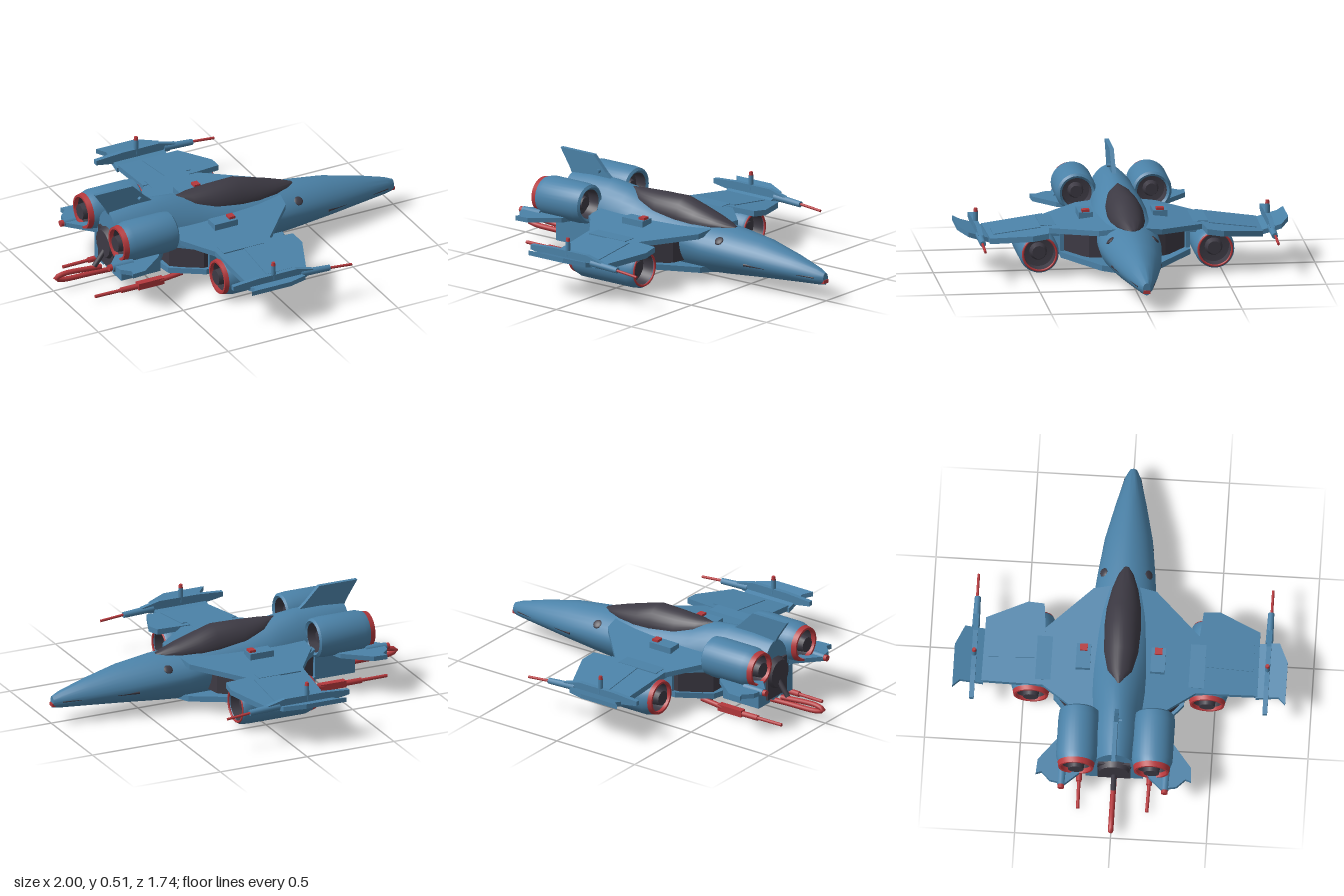
import * as THREE from 'three';
import { toCreasedNormals } from 'three/addons/utils/BufferGeometryUtils.js';

const material = (name, color) => Object.assign(new THREE.MeshStandardMaterial({ color }), { name });

export function createModel() {
  const blue = material('hull blue', 0x4b82a8);
  const dark = material('dark grey', 0x3d3a44);
  const red = material('accent red', 0xb5383c);
  const liner = material('dark liner', 0x3d3a44);
  liner.side = THREE.DoubleSide;
  const group = new THREE.Group();

  const add = (name, geometry, mat, x = 0, y = 0, z = 0) => {
    const mesh = new THREE.Mesh(geometry, mat);
    mesh.name = name;
    mesh.position.set(x, y, z);
    group.add(mesh);
    return mesh;
  };
  const box = (name, mat, w, h, d, x, y, z) => add(name, new THREE.BoxGeometry(w, h, d), mat, x, y, z);

  // Straight rod between two points, r0 at the start and r1 at the end
  const rod = (name, mat, a, b, r0, r1 = r0) => {
    const from = new THREE.Vector3(...a), dir = new THREE.Vector3(...b).sub(from);
    const mesh = add(name, new THREE.CylinderGeometry(r1, r0, dir.length(), 14), mat);
    mesh.position.copy(from).addScaledVector(dir, 0.5);
    mesh.quaternion.setFromUnitVectors(new THREE.Vector3(0, 1, 0), dir.normalize());
    return mesh;
  };

  // Skin over sections [x, half width, top, waist, bottom], nose first
  const loft = (name, mat, sections, power) => {
    const n = 32, pos = [], index = [];
    const bend = (v) => Math.sign(v) * Math.abs(v) ** (2 / power);
    for (const [x, w, top, mid, bottom] of sections) {
      for (let j = 0; j < n; j++) {
        const a = (j / n) * Math.PI * 2, s = bend(Math.sin(a));
        pos.push(x, mid + s * (s > 0 ? top - mid : mid - bottom), w * bend(Math.cos(a)));
      }
    }
    const last = sections.length - 1, cap = pos.length / 3;
    pos.push(sections[0][0], sections[0][3], 0, sections[last][0], sections[last][3], 0);
    for (let j = 0; j < n; j++) {
      const k = (j + 1) % n;
      for (let i = 0; i < last; i++) {
        const a = i * n + j, b = i * n + k;
        index.push(a, b, a + n, b, b + n, a + n);
      }
      index.push(cap, k, j, cap + 1, last * n + j, last * n + k);
    }
    const g = new THREE.BufferGeometry();
    g.setAttribute('position', new THREE.Float32BufferAttribute(pos, 3));
    g.setIndex(index);
    return add(name, toCreasedNormals(g, 0.6), mat);
  };

  // Flat panel from an x/z outline; its top lies at y0 + slope * |z|
  const plate = (name, mat, outline, side, thick, y0, slope = 0) => {
    const shape = new THREE.Shape(outline.map(([x, z]) => new THREE.Vector2(x, z * side)));
    const g = new THREE.ExtrudeGeometry(shape, { depth: thick, bevelEnabled: false });
    g.rotateX(Math.PI / 2);
    const p = g.attributes.position;
    for (let i = 0; i < p.count; i++) p.setY(i, p.getY(i) + y0 + slope * Math.abs(p.getZ(i)));
    g.computeVertexNormals();
    return add(name, g, mat);
  };

  // Upright panel from an x/y outline
  const fin = (name, mat, outline, thick, z) => {
    const shape = new THREE.Shape(outline.map(([x, y]) => new THREE.Vector2(x, y)));
    const g = new THREE.ExtrudeGeometry(shape, { depth: thick, bevelEnabled: false });
    return add(name, g.translate(0, 0, -thick / 2), mat, 0, 0, z);
  };

  // Body turned around the x axis from [x, radius] points running towards the nose
  const turned = (name, mat, points, y, z) => {
    const g = new THREE.LatheGeometry(points.map(([x, r]) => new THREE.Vector2(r, x)), 36);
    return add(name, toCreasedNormals(g.rotateZ(-Math.PI / 2), 0.6), mat, 0, y, z);
  };

  // Hollow engine: mouth is the intake radius, ring the length of the red rear ring
  const engine = (name, back, front, r, y, z, mouth, ring) => {
    turned(name + 'Shell', blue, [[back, r * 0.88], [back + 0.04, r], [front - 0.05, r], [front - 0.01, r * 0.96],
      [front, (r * 0.96 + mouth) / 2], [front - 0.01, mouth]], y, z);
    turned(name + 'Liner', liner, [[back - ring, r * 0.74], [back + 0.06, r * 0.68], [back + 0.07, 0.001],
      [front - 0.08, 0.001], [front - 0.07, mouth * 0.92], [front - 0.01, mouth]], y, z);
    turned(name + 'RearRing', red, [[back, r * 0.72], [back - ring, r * 0.74], [back - ring, r * 0.85],
      [back + 0.005, r * 0.9]], y, z);
    rod(name + 'FrontHub', dark, [front - 0.09, y, z], [front - 0.035, y, z], mouth * 0.6, mouth * 0.4);
    rod(name + 'Nozzle', dark, [back + 0.09, y, z], [back - ring - 0.008, y, z], r * 0.5, r * 0.38);
  };

  // Fuselage, canopy and tail fin
  loft('fuselage', blue, [
    [0.995, 0.02, 0.155, 0.125, 0.09], [0.95, 0.042, 0.175, 0.13, 0.085], [0.8, 0.08, 0.22, 0.142, 0.075],
    [0.6, 0.125, 0.267, 0.158, 0.06], [0.4, 0.15, 0.292, 0.172, 0.04], [0.28, 0.162, 0.3, 0.18, 0.03],
    [0.1, 0.16, 0.32, 0.2, 0.02], [-0.1, 0.16, 0.345, 0.2, 0.015], [-0.2, 0.158, 0.368, 0.2, 0.015],
    [-0.28, 0.153, 0.388, 0.2, 0.018], [-0.4, 0.14, 0.405, 0.2, 0.03], [-0.55, 0.14, 0.405, 0.2, 0.04],
    [-0.68, 0.12, 0.395, 0.2, 0.055]], 1.8);
  loft('canopy', dark, [
    [0.4, 0.015, 0.296, 0.283, 0.27], [0.36, 0.04, 0.31, 0.284, 0.27], [0.28, 0.068, 0.337, 0.285, 0.27],
    [0.17, 0.09, 0.371, 0.285, 0.27], [0.07, 0.096, 0.402, 0.29, 0.27], [-0.08, 0.09, 0.398, 0.302, 0.28],
    [-0.2, 0.065, 0.392, 0.335, 0.3], [-0.28, 0.015, 0.389, 0.36, 0.35]], 1.9);
  fin('tailFin', blue, [[-0.4, 0.38], [-0.46, 0.43], [-0.54, 0.513], [-0.76, 0.513], [-0.7, 0.42], [-0.67, 0.36]], 0.022, 0);
  rod('finSensor', blue, [-0.5, 0.432, 0], [-0.5, 0.432, 0.03], 0.01);
  box('noseTip', red, 0.02, 0.018, 0.036, 0.99, 0.108, 0);

  // Tail thruster, hook and hook base
  box('tailBulkhead', dark, 0.02, 0.2, 0.17, -0.682, 0.18, 0);
  rod('tailThruster', dark, [-0.66, 0.21, 0], [-0.71, 0.21, 0], 0.1, 0.075);
  rod('tailStrut', dark, [-0.69, 0.18, 0], [-0.76, 0.09, 0], 0.014);
  const hook = new THREE.CatmullRomCurve3([[-0.54, 0.043], [-0.75, 0.052], [-0.95, 0.06], [-0.986, 0.075],
    [-0.95, 0.09], [-0.72, 0.078]].map(([x, y]) => new THREE.Vector3(x, y, 0)));
  add('tailHook', new THREE.TubeGeometry(hook, 40, 0.014, 10), red);
  fin('hookBase', red, [[-0.3, 0.03], [-0.3, 0.015], [-0.56, 0.034], [-0.56, 0.055]], 0.04, 0);

  for (const s of [1, -1]) {
    // Wing panels and belly
    plate('innerWing', blue, [[0.3, 0.05], [0.28, 0.165], [0.05, 0.41], [-0.25, 0.41], [-0.4, 0.21], [-0.4, 0.05]], s, 0.028, 0.29, -0.125);
    plate('outerWing', blue, [[0.04, 0.4], [0.19, 0.415], [0.2, 0.5], [0.11, 0.715], [-0.24, 0.72], [-0.26, 0.4]], s, 0.03, 0.294, -0.125);
    plate('wingFlap', blue, [[0.04, 0.44], [0.04, 0.69], [-0.11, 0.69], [-0.11, 0.44]], s, 0.012, 0.298, -0.125);
    plate('wingTip', blue, [[0.05, 0.71], [0.05, 0.82], [-0.06, 0.868], [-0.29, 0.868], [-0.25, 0.83], [-0.25, 0.71]], s, 0.025, -0.012, 0.29);
    plate('bellyPanel', blue, [[0.3, 0.05], [0.28, 0.15], [0.07, 0.34], [-0.28, 0.34], [-0.43, 0.2], [-0.43, 0.05]], s, 0.03, 0.065, 0.14);

    // Intake tunnel between the wing and the belly
    const tunnel = [[0.16, 0.1], [0.14, 0.2], [0.02, 0.315], [-0.28, 0.315], [-0.42, 0.19], [-0.42, 0.1]];
    plate('intakeInterior', dark, tunnel, s, 0.145, 0.242);
    plate('intakeRoof', blue, tunnel.map(([x, z]) => [x * 1.02, z + 0.005]), s, 0.03, 0.245);
    box('intakeWall', blue, 0.3, 0.14, 0.02, -0.11, 0.17, s * 0.33);
    box('rearBodyBlock', blue, 0.23, 0.15, 0.1, -0.565, 0.13, s * 0.1);

    // Engines
    engine('lowerEngine', -0.262, 0.155, 0.105, 0.125, s * 0.46, 0.087, 0.018);
    const lip = add('lowerEngineFrontRing', new THREE.TorusGeometry(0.088, 0.006, 8, 36), red, 0.155, 0.125, s * 0.46);
    lip.rotation.y = Math.PI / 2;
    engine('upperEngine', -0.71, -0.41, 0.107, 0.31, s * 0.197, 0.078, 0.023);
    box('enginePylon', blue, 0.24, 0.06, 0.1, -0.11, 0.215, s * 0.39);

    // Rear stabilisers
    plate('stabiliser', blue, [[-0.46, 0.1], [-0.53, 0.29], [-0.67, 0.4], [-0.745, 0.405], [-0.735, 0.375], [-0.78, 0.33], [-0.795, 0.25], [-0.66, 0.1]], s, 0.025, 0.235);
    rod('stabiliserPod', blue, [-0.68, 0.225, s * 0.27], [-0.8, 0.225, s * 0.27], 0.024, 0.02);
    rod('stabiliserLight', red, [-0.8, 0.225, s * 0.27], [-0.818, 0.225, s * 0.27], 0.017);

    // Wing tip guns
    fin('gunHousing', blue, [[-0.35, 0.215], [-0.35, 0.24], [-0.2, 0.25], [0.02, 0.25], [0.12, 0.225], [0.08, 0.19], [-0.2, 0.19]], 0.025, s * 0.765);
    rod('gunSleeve', blue, [0.05, 0.212, s * 0.765], [0.22, 0.202, s * 0.765], 0.02, 0.016);
    rod('gunBarrel', red, [0.21, 0.203, s * 0.768], [0.35, 0.19, s * 0.768], 0.007);
    rod('gunSensor', blue, [-0.11, 0.22, s * 0.765], [-0.11, 0.3, s * 0.765], 0.014, 0.012);
    rod('gunSensorCap', red, [-0.11, 0.3, s * 0.765], [-0.11, 0.318, s * 0.765], 0.012, 0.009);

    // Rear-facing belly guns
    box('bellyGunBody', red, 0.15, 0.036, 0.036, -0.53, 0.022, s * 0.185);
    rod('bellyGunBarrel', red, [-0.6, 0.02, s * 0.185], [-0.85, 0.02, s * 0.18], 0.009);
    rod('bellyGunSleeve', red, [-0.6, 0.02, s * 0.185], [-0.7, 0.02, s * 0.183], 0.015);
    rod('bellyGunMount', red, [-0.48, 0.025, s * 0.19], [-0.35, 0.045, s * 0.2], 0.014);
    rod('bellyGunStrut', dark, [-0.4, 0.03, s * 0.19], [-0.38, 0.09, s * 0.17], 0.014);

    // Deck hatches, nose vents and nose seams
    box('deckHatch', blue, 0.135, 0.042, 0.075, -0.105, 0.274, s * 0.195);
    box('hatchLight', red, 0.035, 0.022, 0.04, -0.06, 0.297, s * 0.195);
    const vent = add('noseVent', new THREE.SphereGeometry(0.025, 16, 8), dark, 0.38, 0.241, s * 0.118);
    vent.scale.y = 0.3;
    vent.rotation.x = s * 0.75;
    rod('noseSeam', dark, [0.55, 0.145, s * 0.126], [0.95, 0.128, s * 0.04], 0.008, 0.004);
  }
  return group;
}
